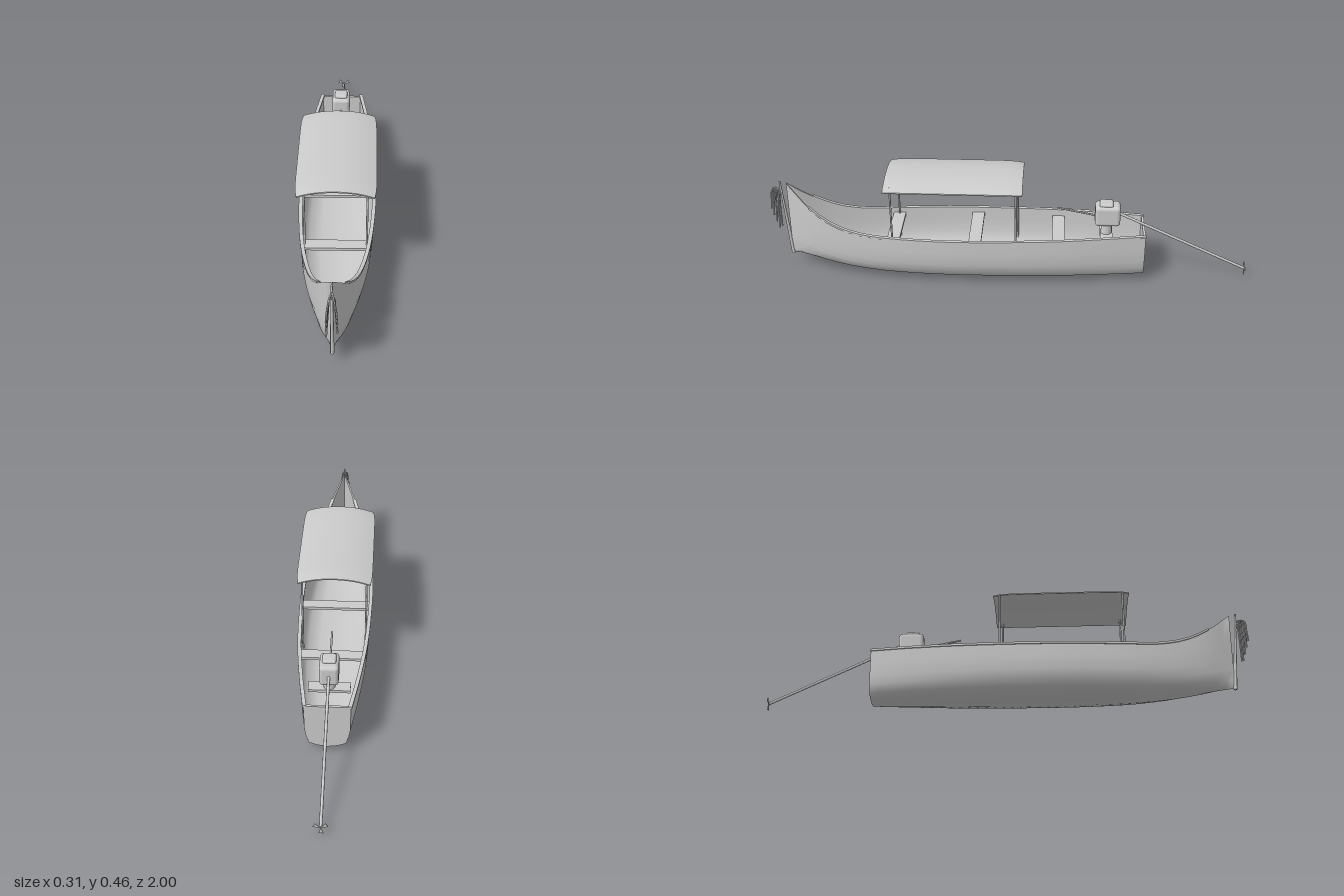
import * as THREE from 'three';
import { toCreasedNormals } from 'three/addons/utils/BufferGeometryUtils.js';
import { RoundedBoxGeometry } from 'three/addons/geometries/RoundedBoxGeometry.js';

const V = (x, y, z) => new THREE.Vector3(x, y, z);
const mat = new THREE.MeshStandardMaterial({ color: 0xcccccc, side: THREE.DoubleSide });

function add(group, name, geo, pos) {
  const mesh = new THREE.Mesh(geo, mat);
  mesh.name = name;
  if (pos) mesh.position.copy(pos);
  group.add(mesh);
  return mesh;
}

// Skin joining equal-length rows of points
function skin(rows, closed, crease = 1) {
  const n = rows[0].length, idx = [];
  for (let i = 0; i < rows.length - 1; i++) {
    for (let j = 0; j < (closed ? n : n - 1); j++) {
      const k = (j + 1) % n, a = i * n + j, b = i * n + k, c = a + n, d = b + n;
      idx.push(a, c, b, b, c, d);
    }
  }
  if (closed) {
    for (let j = 1; j < n - 1; j++) {
      const e = (rows.length - 1) * n;
      if (closed === 'capped') idx.push(0, j, j + 1, e, e + j + 1, e + j);
    }
  }
  const geo = new THREE.BufferGeometry().setFromPoints(rows.flat());
  geo.setIndex(idx);
  return toCreasedNormals(geo, crease);
}

// Straight round bar between two points
function rod(group, name, a, b, r0, r1 = r0, sides = 8) {
  const mesh = add(group, name, new THREE.CylinderGeometry(r1, r0, a.distanceTo(b), sides));
  mesh.position.copy(a).lerp(b, 0.5);
  mesh.quaternion.setFromUnitVectors(V(0, 1, 0), b.clone().sub(a).normalize());
  return mesh;
}

// Hull stations: z, half beam, sheer height, keel height
const stations = [
  [-0.565, 0.09, 0.224, 0.02], [-0.4, 0.114, 0.222, 0.02], [-0.2, 0.136, 0.218, 0.02],
  [0, 0.147, 0.215, 0.02], [0.25, 0.15, 0.212, 0.02], [0.48, 0.134, 0.212, 0.021],
  [0.62, 0.112, 0.218, 0.026], [0.73, 0.087, 0.245, 0.034], [0.83, 0.055, 0.302, 0.046], [0.93, 0.003, 0.392, 0.06],
];
function stationAt(z) {
  let i = 0;
  while (i < stations.length - 2 && z > stations[i + 1][0]) i++;
  const s = (k) => stations[Math.min(Math.max(k, 0), stations.length - 1)];
  const [p, a, b, q] = [s(i - 1), s(i), s(i + 1), s(i + 2)];
  const h = b[0] - a[0], t = (z - a[0]) / h;
  return [1, 2, 3].map((k) => {
    const m0 = (b[k] - p[k]) / (b[0] - p[0]) * h, m1 = (q[k] - a[k]) / (q[0] - a[0]) * h;
    return a[k] * (2 * t ** 3 - 3 * t * t + 1) + m0 * (t ** 3 - 2 * t * t + t)
      + b[k] * (3 * t * t - 2 * t ** 3) + m1 * (t ** 3 - t * t);
  });
}
const profile = [[0, 0], [0.45, 0.03], [0.8, 0.095], [0.92, 0.26], [0.985, 0.42], [1, 0.72], [1, 1]];
function section(z, inset = 0) {
  const [w, top, keel] = stationAt(z);
  const half = Math.max(w - inset, 0.0008), base = keel + inset;
  const side = profile.map(([u, v]) => V(u * half, base + v * (top - base), z));
  return [...side.slice(1).reverse().map((p) => V(-p.x, p.y, z)), ...side];
}

function buildHull(boat) {
  const hull = new THREE.Group();
  hull.name = 'hull';
  boat.add(hull);
  const zs = Array.from({ length: 41 }, (_, i) => -0.565 + 1.495 * i / 40);
  add(hull, 'hullShell', skin(zs.map((z) => [...section(z), ...section(z, 0.007).reverse()]), true));

  // Flat stern board
  const shape = new THREE.Shape(section(-0.565).map((p) => new THREE.Vector2(p.x, p.y)));
  add(hull, 'transom', new THREE.ExtrudeGeometry(shape, { depth: 0.01, bevelEnabled: false }), V(0, 0, -0.565));

  // Gunwale rails end short of the raised bow
  for (const s of [-1, 1]) {
    const rows = [];
    for (let i = 0; i <= 32; i++) {
      const z = -0.567 + 1.4 * i / 32;
      const [w, top] = stationAt(Math.max(z, -0.565));
      rows.push([[-0.01, -0.004], [0.005, -0.004], [0.005, 0.005], [-0.01, 0.005]]
        .map(([x, y]) => V(s * (w + x), top + y, z)));
    }
    add(hull, s > 0 ? 'leftGunwale' : 'rightGunwale', skin(rows, 'capped', 0.6));
  }

  // Thwarts
  for (const z of [0.48, 0.14, -0.205, -0.405]) {
    const w = stationAt(z)[0] - (z < -0.3 ? 0.03 : 0.007);
    add(hull, 'thwart', new THREE.BoxGeometry(2 * w, 0.012, 0.052), V(0, 0.187, z));
  }
}

function buildCanopy(boat) {
  const canopy = new THREE.Group();
  canopy.name = 'canopy';
  boat.add(canopy);
  const rows = [];
  for (let i = 0; i <= 20; i++) {
    const v = -1 + i / 10, upper = [], lower = [];
    for (let j = 0; j <= 16; j++) {
      const u = -1 + j / 8;
      const x = u * (0.155 - 0.008 * v ** 8);
      const y = 0.466 - 0.025 * Math.abs(u) ** 2.2 - 0.004 * v ** 8;
      upper.push(V(x, y, 0.225 + 0.282 * v));
      lower.push(V(x, y - 0.005, 0.225 + 0.282 * v));
    }
    rows.push([...upper, ...lower.reverse()]);
  }
  add(canopy, 'canopyRoof', skin(rows, true));
  // End strips close the roof edge
  for (const i of [0, 20]) {
    add(canopy, 'canopyEdge', skin([rows[i].slice(0, 17), rows[i].slice(17).reverse()], false));
  }
  for (const s of [-1, 1]) {
    rod(canopy, 'canopyPost', V(s * 0.12, 0.08, 0.48), V(s * 0.12, 0.448, 0.48), 0.004);
    rod(canopy, 'canopyPost', V(s * 0.132, 0.08, -0.03), V(s * 0.132, 0.444, -0.03), 0.004);
  }
}

function buildBow(boat) {
  const bow = new THREE.Group();
  bow.name = 'bowOrnament';
  boat.add(bow);
  rod(bow, 'stemPost', V(0, 0.055, 0.93), V(0, 0.4, 0.957), 0.008, 0.004);
  // Drooping strands fan out from the stem
  for (const s of [-1, 1]) {
    for (let i = 0; i < 4; i++) {
      const reach = 0.968 + 0.009 * i, drop = (s < 0 ? 0.175 : 0.19) + 0.03 * i;
      const path = new THREE.CatmullRomCurve3([
        V(0, 0.33 + 0.012 * i, 0.953), V(s * 0.008, 0.352 + 0.004 * i, reach - 0.006),
        V(s * (0.013 + 0.001 * i), 0.29 + 0.008 * i, reach), V(s * 0.02, drop, reach + 0.003),
      ]);
      add(bow, 'strand', new THREE.TubeGeometry(path, 10, 0.0035, 5));
    }
  }
}

function buildMotor(boat) {
  const motor = new THREE.Group();
  motor.name = 'motor';
  boat.add(motor);
  add(motor, 'motorMount', new THREE.CylinderGeometry(0.02, 0.024, 0.06, 12), V(0, 0.215, -0.405));
  add(motor, 'motorBody', new RoundedBoxGeometry(0.076, 0.09, 0.105, 3, 0.015), V(0, 0.282, -0.408));
  add(motor, 'motorCap', new RoundedBoxGeometry(0.054, 0.026, 0.056, 3, 0.009), V(0, 0.325, -0.402));
  rod(motor, 'tillerHandle', V(0, 0.272, -0.36), V(0, 0.304, -0.2), 0.004);
  rod(motor, 'driveShaft', V(0, 0.287, -0.45), V(0, 0.031, -0.995), 0.006);

  // Three flared propeller blades
  const blade = new THREE.Shape([[0, 0], [0.01, 0.027], [-0.007, 0.027]].map((p) => new THREE.Vector2(...p)));
  const geo = new THREE.ExtrudeGeometry(blade, { depth: 0.003, bevelEnabled: false });
  for (let i = 0; i < 3; i++) {
    const m = add(motor, 'propellerBlade', geo, V(0, 0.03, -0.999));
    m.rotation.z = Math.PI + i * Math.PI * 2 / 3;
  }
}

export function createModel() {
  const boat = new THREE.Group();
  boat.name = 'canopyBoat';
  buildHull(boat);
  buildCanopy(boat);
  buildBow(boat);
  buildMotor(boat);
  return boat;
}
